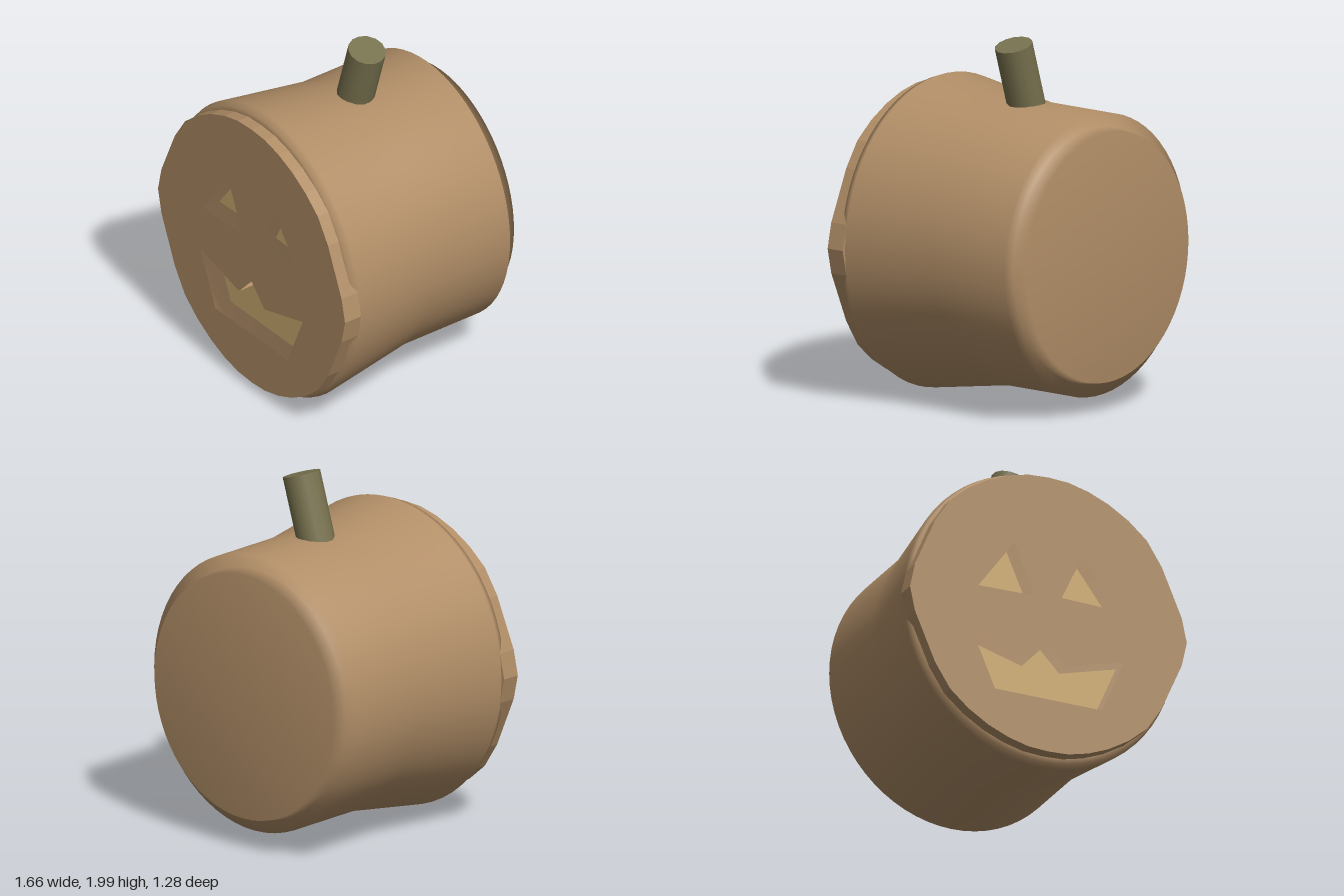
import * as THREE from 'three';

const CY = 0.865; // height of the body's axis

const mat = (name, hex) => {
  const m = new THREE.MeshStandardMaterial({ color: hex });
  m.name = name;
  return m;
};
const v2 = (pts) => pts.map(([x, y]) => new THREE.Vector2(x, y));

export function createModel() {
  const group = new THREE.Group();
  const shell = mat('pumpkin brown', 0xb18e67);
  const glow = mat('pale yellow', 0xcfad72);
  const stalk = mat('olive stem', 0x78724f);
  const add = (name, geometry, material) => {
    const mesh = new THREE.Mesh(geometry, material);
    mesh.name = name;
    group.add(mesh);
    return mesh;
  };

  // Body: waisted barrel lying along z, with a stepped, softly shaded back
  const profile = v2([
    [0, -0.64], [0.687, -0.64], [0.7, -0.55], [0.775, -0.55], [0.775, -0.03],
    [0.86, 0.53], [0.845, 0.572], [0.79, 0.578], [0.74, 0.53], [0, 0.53],
  ]);
  const body = new THREE.LatheGeometry(profile, 64);
  body.rotateX(Math.PI / 2);
  body.scale(0.945, 1, 1);
  body.translate(0, CY, 0);
  add('body', body, shell);

  // Carved openings of the face
  const leftEye = v2([[0.08, 0.98], [0.205, 1.25], [0.415, 0.97]]);
  const rightEye = v2([[-0.42, 0.955], [-0.205, 1.25], [-0.08, 0.96]]);
  const mouth = v2([
    [-0.455, 0.675], [-0.11, 0.58], [0, 0.7], [0.115, 0.58],
    [0.455, 0.675], [0.32, 0.36], [-0.32, 0.36],
  ]);
  const cuts = { leftEye, rightEye, mouth };

  // Face plate: oval with slightly pointed sides, mirrored from one quarter
  const quarter = [
    [0, 0.815], [0.12, 0.808], [0.24, 0.778], [0.36, 0.728], [0.48, 0.655],
    [0.59, 0.56], [0.68, 0.42], [0.8, 0.14], [0.83, 0],
  ];
  const lower = quarter.slice(0, -1).reverse().map(([x, y]) => [x, -y]);
  const half = [...quarter, ...lower];
  const mirrored = half.slice(1, -1).reverse().map(([x, y]) => [-x, y]);
  const outline = v2([...half, ...mirrored].map(([x, y]) => [x, y + CY]));
  const face = new THREE.Shape(outline);
  for (const pts of Object.values(cuts)) face.holes.push(new THREE.Path(pts));
  const plate = new THREE.ExtrudeGeometry(face, { depth: 0.11, bevelEnabled: false });
  plate.translate(0, 0, 0.535);
  add('facePlate', plate, shell);

  // Pale floors inside the openings
  for (const [name, pts] of Object.entries(cuts)) {
    const floor = new THREE.ShapeGeometry(new THREE.Shape(pts));
    floor.translate(0, 0, 0.54);
    add(name + 'Floor', floor, glow);
  }

  // Stem leaning to the left
  const stem = add('stem', new THREE.CylinderGeometry(0.104, 0.104, 0.4, 14), stalk);
  stem.position.set(0.052, 1.779, -0.055);
  stem.rotation.z = -0.293;

  return group;
}
